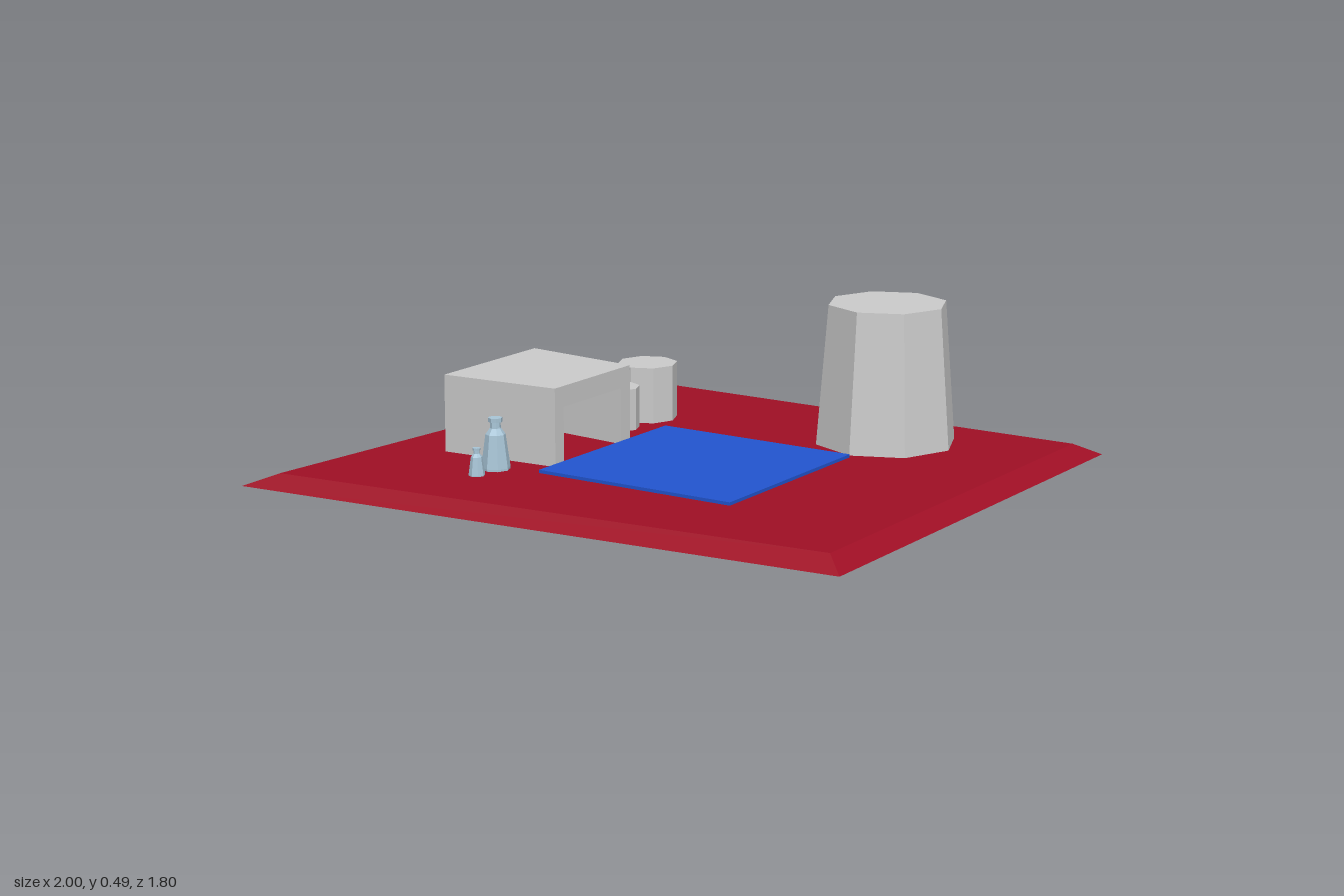
import * as THREE from 'three';

const material = (color) => new THREE.MeshStandardMaterial({ color, flatShading: true, side: THREE.DoubleSide });
const grey = material(0xcccccc);
const red = material(0xa00f25);
const blue = material(0x2255d0);
const glass = material(0xa9c6d8);

// Stacks outlines of [x, z] corners (counterclockwise from above) at given heights,
// joined by walls, open below and optionally closed on top.
function loft(levels, capped) {
  const n = levels[0].outline.length;
  const positions = levels.flatMap(({ y, outline }) => outline.flatMap(([x, z]) => [x, y, z]));
  const index = [];
  for (let l = 0; l < levels.length - 1; l++) {
    for (let i = 0; i < n; i++) {
      const a = l * n + i, b = l * n + (i + 1) % n;
      index.push(a, b, b + n, a, b + n, a + n);
    }
  }
  const top = (levels.length - 1) * n;
  if (capped) for (let i = 1; i < n - 1; i++) index.push(top, top + i, top + i + 1);
  const geometry = new THREE.BufferGeometry();
  geometry.setAttribute('position', new THREE.Float32BufferAttribute(positions, 3));
  geometry.setIndex(index);
  geometry.computeVertexNormals();
  return geometry;
}

export function createModel() {
  const model = new THREE.Group();
  model.name = 'scene';

  const add = (name, geometry, mat, parent = model) => {
    const mesh = new THREE.Mesh(geometry, mat);
    mesh.name = name;
    parent.add(mesh);
    return mesh;
  };

  // Skewed ground with bevelled rim, hollow underneath
  const rim = [[1, 0.73], [1, -0.9], [-0.84, -0.9], [-1, 0.9]];
  const deck = [[0.94, 0.68], [0.94, -0.81], [-0.73, -0.81], [-0.89, 0.85]];
  add('ground', loft([{ y: 0, outline: rim }, { y: 0.045, outline: deck }], true), red);

  // Flat square mat
  const mat = [[0.445, 0.415], [0.445, -0.27], [-0.24, -0.27], [-0.24, 0.415]];
  add('mat', loft([{ y: 0.038, outline: mat }, { y: 0.055, outline: mat }], true), blue);

  // Tapered shelter, open towards the mat
  const shelter = new THREE.Group();
  shelter.name = 'shelter';
  model.add(shelter);
  const outer = [[-0.24, 0.33], [-0.24, -0.07], [-0.64, -0.11], [-0.64, 0.36]];
  const inner = [[-0.24, 0.285], [-0.24, -0.02], [-0.57, -0.05], [-0.57, 0.305]];
  const walls = [outer[1], outer[2], outer[3], outer[0], inner[0], inner[3], inner[2], inner[1]];
  add('shelterWalls', loft([{ y: 0.025, outline: walls }, { y: 0.225, outline: walls }], false), grey, shelter);
  add('shelterRoof', loft([{ y: 0.225, outline: outer }, { y: 0.29, outline: outer }], true), grey, shelter);
  add('shelterCeiling', loft([{ y: 0.225, outline: inner }], true), grey, shelter);

  // Eight-sided drums: [name, x, z, bottom radius, top radius, height]
  const drums = [
    ['tower', 0.432, -0.515, 0.227, 0.19, 0.49],
    ['largeStool', -0.38, -0.375, 0.098, 0.098, 0.227],
    ['smallStool', -0.38, -0.203, 0.072, 0.072, 0.18],
  ];
  for (const [name, x, z, bottom, top, height] of drums) {
    const profile = [[bottom, 0.03], [top, height], [0, height]].map((p) => new THREE.Vector2(...p));
    add(name, new THREE.LatheGeometry(profile, 8), grey).position.set(x, 0, z);
  }

  // Bottles with a tapered body, narrow neck and lip
  const bottleProfile = [
    [0.045, -0.05], [0.045, 0.04], [0.031, 0.68], [0.017, 0.8],
    [0.016, 0.92], [0.022, 0.92], [0.022, 1], [0, 1],
  ];
  const bottles = [['largeBottle', 0.445, 1, 0.205], ['smallBottle', 0.54, 0.56, 0.13]];
  for (const [name, z, girth, height] of bottles) {
    const profile = bottleProfile.map(([r, t]) => new THREE.Vector2(r * girth, 0.045 + t * (height - 0.045)));
    add(name, new THREE.LatheGeometry(profile, 8), glass).position.set(-0.38, 0, z);
  }

  return model;
}
